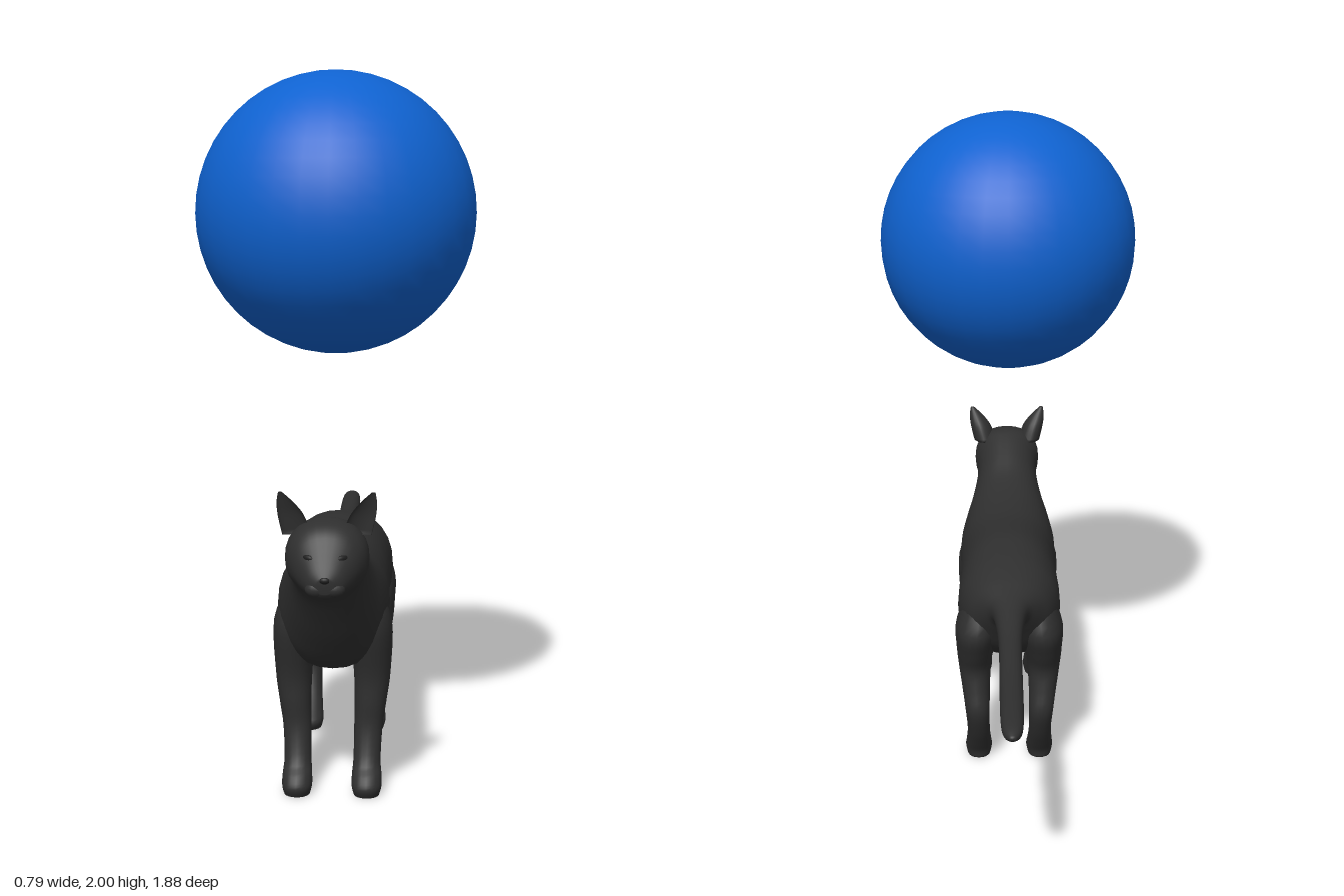
import * as THREE from 'three';

const fur = new THREE.MeshStandardMaterial({ color: 0x2f2f2f });
fur.name = 'black fur';
const dark = new THREE.MeshStandardMaterial({ color: 0x1c1c1c });
dark.name = 'dark features';
const blue = new THREE.MeshStandardMaterial({ color: 0x0f62d0 });
blue.name = 'blue ball';

// Smoothly resample rows of numbers with a Catmull-Rom spline
function smoothRows(rows, steps) {
  const out = [];
  const at = i => rows[Math.max(0, Math.min(rows.length - 1, i))];
  for (let i = 0; i < rows.length - 1; i++) {
    for (let s = 0; s < steps; s++) {
      const t = s / steps;
      out.push(rows[i].map((p1, k) => {
        const p0 = at(i - 1)[k], p2 = at(i + 1)[k], p3 = at(i + 2)[k];
        return p1 + 0.5 * t * (p2 - p0 + t * (2 * p0 - 5 * p1 + 4 * p2 - p3 + t * (3 * (p1 - p2) + p3 - p0)));
      }));
    }
  }
  out.push(rows[rows.length - 1]);
  return out;
}

// Skin a list of rings { c: centre, w: half width in x, b: half vector across }
function loft(rings, { sides = 28, power = 2.2, cup = 1 } = {}) {
  const first = { ...rings[0], scale: 0 };
  const last = { ...rings[rings.length - 1], scale: 0 };
  const all = [first, ...rings, last];
  const pos = [], idx = [];
  const bulge = v => Math.sign(v) * Math.abs(v) ** (2 / power);
  all.forEach(({ c, w, b, scale = 1 }, i) => {
    for (let j = 0; j < sides; j++) {
      const a = (j / sides) * Math.PI * 2;
      const u = bulge(Math.cos(a)) * scale;
      let v = bulge(Math.sin(a)) * scale;
      if (v < 0) v *= cup;
      pos.push(c[0] + w * u, c[1] + b[0] * v, c[2] + b[1] * v);
      if (i < all.length - 1) {
        const n = (j + 1) % sides, p = i * sides, q = p + sides;
        idx.push(p + j, q + j, p + n, p + n, q + j, q + n);
      }
    }
  });
  const g = new THREE.BufferGeometry();
  g.setAttribute('position', new THREE.Float32BufferAttribute(pos, 3));
  g.setIndex(idx);
  g.computeVertexNormals();
  return g;
}

// Rows: top z, top y, bottom z, bottom y, half width (nose to tail tip)
const BODY = [
  [0.94, 0.70, 0.937, 0.66, 0.022],
  [0.925, 0.727, 0.924, 0.645, 0.047],
  [0.90, 0.765, 0.895, 0.637, 0.07],
  [0.875, 0.803, 0.86, 0.635, 0.092],
  [0.84, 0.826, 0.83, 0.63, 0.107],
  [0.79, 0.832, 0.79, 0.618, 0.11],
  [0.745, 0.815, 0.755, 0.59, 0.102],
  [0.68, 0.78, 0.71, 0.53, 0.105],
  [0.60, 0.735, 0.645, 0.44, 0.125],
  [0.52, 0.706, 0.57, 0.36, 0.148],
  [0.43, 0.688, 0.46, 0.338, 0.158],
  [0.32, 0.683, 0.32, 0.337, 0.155],
  [0.14, 0.70, 0.14, 0.345, 0.155],
  [0.02, 0.69, 0.02, 0.345, 0.16],
  [-0.05, 0.678, -0.05, 0.37, 0.155],
  [-0.12, 0.66, -0.12, 0.42, 0.13],
  [-0.17, 0.643, -0.165, 0.49, 0.09],
  [-0.21, 0.63, -0.2, 0.533, 0.057],
  [-0.27, 0.613, -0.27, 0.53, 0.042],
  [-0.39, 0.588, -0.39, 0.521, 0.034],
  [-0.6, 0.574, -0.6, 0.514, 0.033],
  [-0.8, 0.577, -0.8, 0.522, 0.032],
  [-0.9, 0.575, -0.9, 0.532, 0.026],
  [-0.94, 0.562, -0.94, 0.55, 0.008],
];

// Rows: y, centre z, half depth, centre x, half width (top to bottom)
const FRONT_LEG = [
  [0.58, 0.51, 0.06, 0.085, 0.04],
  [0.48, 0.505, 0.09, 0.105, 0.06],
  [0.335, 0.495, 0.064, 0.11, 0.052],
  [0.25, 0.502, 0.052, 0.106, 0.045],
  [0.175, 0.509, 0.044, 0.1, 0.04],
  [0.09, 0.535, 0.042, 0.097, 0.038],
  [0.055, 0.56, 0.05, 0.097, 0.041],
  [0.025, 0.577, 0.05, 0.097, 0.042],
  [0, 0.575, 0.042, 0.097, 0.036],
];
const HIND_LEG = [
  [0.58, -0.05, 0.07, 0.085, 0.045],
  [0.48, -0.05, 0.12, 0.1, 0.066],
  [0.40, -0.03, 0.115, 0.106, 0.06],
  [0.335, -0.025, 0.092, 0.108, 0.052],
  [0.27, -0.06, 0.066, 0.105, 0.044],
  [0.2, -0.093, 0.046, 0.1, 0.038],
  [0.12, -0.066, 0.043, 0.097, 0.035],
  [0.06, -0.025, 0.05, 0.097, 0.039],
  [0.025, 0.001, 0.055, 0.097, 0.042],
  [0, -0.001, 0.047, 0.097, 0.036],
];
const EAR = [
  [0.903, 0.826, 0.004, 0.121, 0.005],
  [0.875, 0.824, 0.022, 0.108, 0.022],
  [0.84, 0.822, 0.044, 0.093, 0.034],
  [0.79, 0.82, 0.06, 0.078, 0.038],
];

const limb = (rows, side, options) => loft(
  smoothRows(rows, 4).map(([y, z, depth, x, w]) => ({ c: [side * x, y, z], w, b: [0, -depth] })),
  { sides: 20, ...options });

export function createModel() {
  const model = new THREE.Group();
  const add = (name, geometry, material, parent = model) => {
    const mesh = new THREE.Mesh(geometry, material);
    mesh.name = name;
    parent.add(mesh);
    return mesh;
  };

  // Floating ball
  add('ball', new THREE.SphereGeometry(0.395, 32, 24), blue).position.set(0, 1.605, 0.322);

  const cat = new THREE.Group();
  cat.name = 'cat';
  model.add(cat);

  // Head, neck, trunk and tail as one continuous skin
  const rings = smoothRows(BODY, 4).map(([zt, yt, zb, yb, w]) => ({
    c: [0, (yt + yb) / 2, (zt + zb) / 2], w, b: [(yt - yb) / 2, (zt - zb) / 2],
  }));
  add('body', loft(rings), fur, cat);

  // Legs, ears and eyes in mirrored pairs
  for (const [side, label] of [[1, 'left'], [-1, 'right']]) {
    add(label + 'FrontLeg', limb(FRONT_LEG, side), fur, cat);
    add(label + 'HindLeg', limb(HIND_LEG, side), fur, cat);
    add(label + 'Ear', limb(EAR, side, { cup: -0.35, power: 2 }), fur, cat);

    const eye = add(label + 'Eye', new THREE.SphereGeometry(1, 16, 10), dark, cat);
    eye.scale.set(0.019, 0.009, 0.007);
    eye.position.set(side * 0.047, 0.746, 0.896);
    eye.rotation.set(-0.4, side * 0.6, side * 0.25);

    const muzzle = add(label + 'Muzzle', new THREE.SphereGeometry(1, 16, 12), fur, cat);
    muzzle.scale.set(0.03, 0.022, 0.022);
    muzzle.position.set(side * 0.022, 0.67, 0.917);
  }

  // Nose
  const nose = add('nose', new THREE.SphereGeometry(1, 14, 10), dark, cat);
  nose.scale.set(0.014, 0.009, 0.008);
  nose.position.set(0, 0.696, 0.936);

  return model;
}
